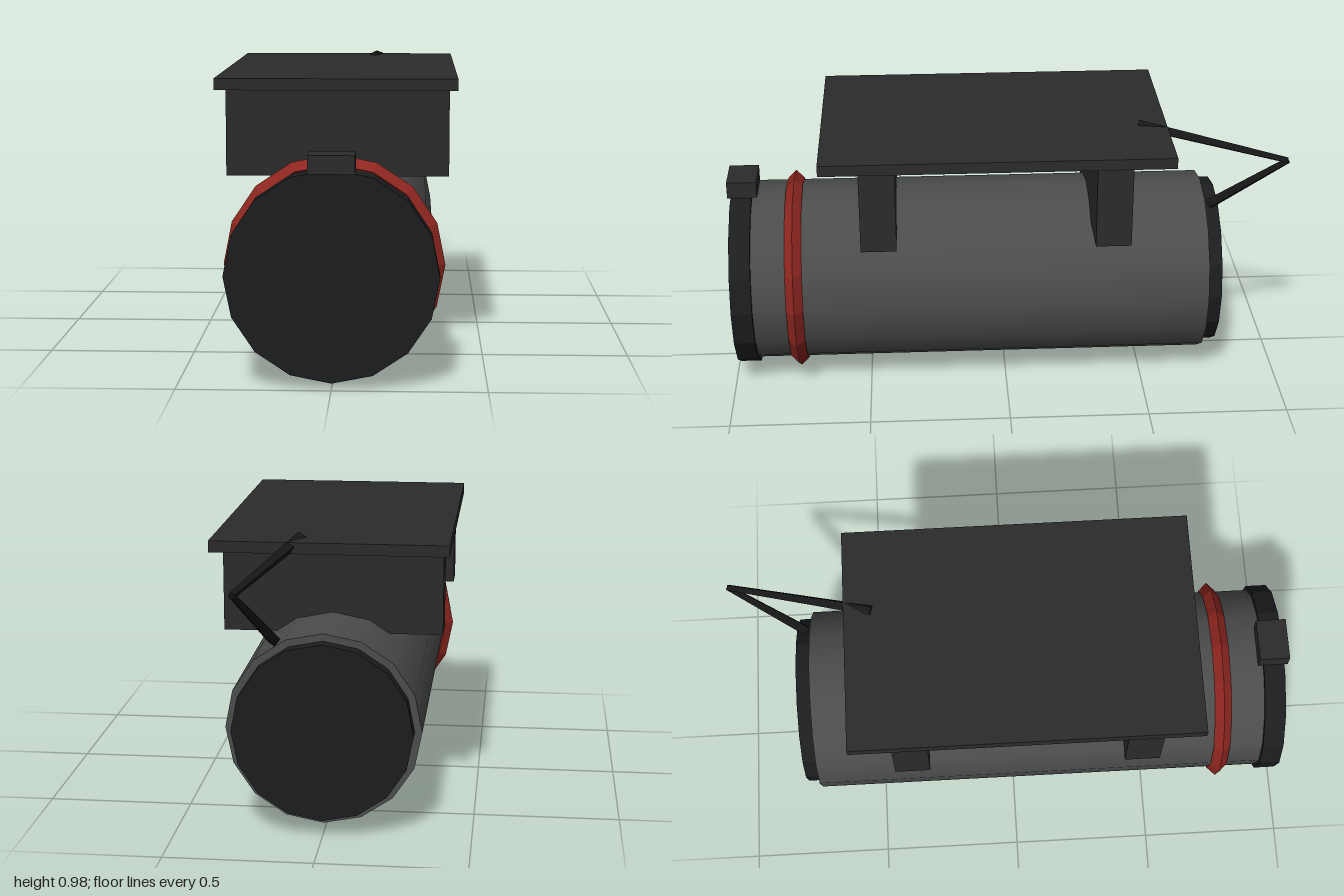
import * as THREE from 'three';

const mat = (color, flatShading = true) => new THREE.MeshStandardMaterial({ color, flatShading });

export function createModel() {
  const model = new THREE.Group();
  const frameMat = mat(0x2b2b2b), capMat = mat(0x1b1d1f), tubeMat = mat(0x4b4d4c, false);
  const ringMat = mat(0x8e2620), strutMat = mat(0x161616);
  const axisY = 0.37, sides = 16;

  const add = (name, geometry, material) => {
    const mesh = new THREE.Mesh(geometry, material);
    mesh.name = name;
    model.add(mesh);
    return mesh;
  };
  // Box given by its extents, symmetric in x
  const box = (name, halfX, y0, y1, z0, z1) =>
    add(name, new THREE.BoxGeometry(2 * halfX, y1 - y0, z1 - z0), frameMat)
      .position.set(0, (y0 + y1) / 2, (z0 + z1) / 2);
  // Sixteen-sided drum lying along z
  const drum = (name, r, z0, z1, material) => {
    const g = new THREE.CylinderGeometry(r, r, z1 - z0, sides).rotateX(Math.PI / 2);
    add(name, g, material).position.set(0, axisY, (z0 + z1) / 2);
  };
  // Thin four-sided bar between two points
  const bar = (name, a, b, ra, rb) => {
    const dir = b.clone().sub(a);
    const mesh = add(name, new THREE.CylinderGeometry(rb, ra, dir.length(), 4), strutMat);
    mesh.position.copy(a).add(b).multiplyScalar(0.5);
    mesh.quaternion.setFromUnitVectors(new THREE.Vector3(0, 1, 0), dir.normalize());
  };

  // Main tube with end caps
  drum('tube', 0.33, -0.725, 0.93, tubeMat);
  drum('frontCap', 0.345, 0.91, 0.985, capMat);
  drum('backCap', 0.305, -0.775, -0.715, capMat);

  // Red band with a diamond section
  add('redRing', new THREE.TorusGeometry(0.335, 0.03, 4, sides), ringMat).position.set(0, axisY, 0.76);

  // Latch on the front cap
  box('capLatch', 0.075, 0.70, 0.76, 0.89, 0.997);

  // Top plate on two saddle blocks
  box('topPlate', 0.405, 0.932, 0.971, -0.575, 0.65);
  box('frontSaddle', 0.38, 0.628, 0.935, 0.39, 0.515);
  box('backSaddle', 0.38, 0.628, 0.935, -0.43, -0.305);

  // Bent strut from the plate to the back of the tube
  const tip = new THREE.Vector3(0.255, 0.885, -0.987);
  bar('upperStrut', new THREE.Vector3(0.105, 0.968, -0.476), tip, 0.022, 0.013);
  bar('lowerStrut', new THREE.Vector3(0.16, 0.675, -0.735), tip, 0.022, 0.013);

  return model;
}
